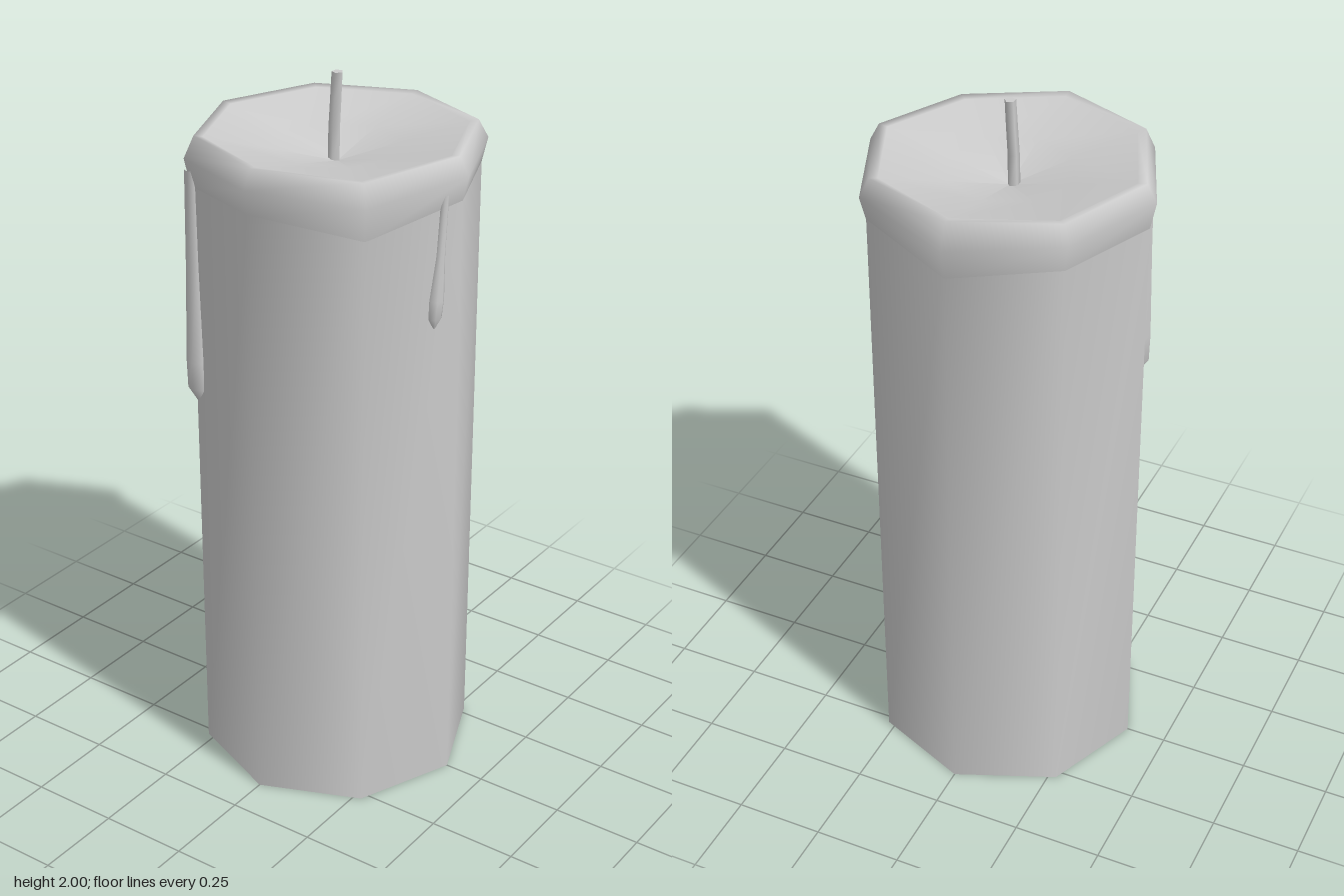
import * as THREE from 'three';

const SIDES = 8;

// Smooth skin through closed rings of points, listed bottom to top (outside facing out).
function loft(rings) {
  const n = rings[0].length;
  const index = [];
  for (let i = 0; i < rings.length - 1; i++) {
    for (let j = 0; j < n; j++) {
      const k = (j + 1) % n;
      const a = i * n + j, b = i * n + k, c = a + n, d = b + n;
      index.push(a, b, d, a, d, c);
    }
  }
  const geo = new THREE.BufferGeometry();
  geo.setAttribute('position', new THREE.Float32BufferAttribute(rings.flat(2), 3));
  geo.setIndex(index);
  geo.computeVertexNormals();
  return geo;
}

// Ring around the y axis; the height may differ at every corner. Corner 0 is at +z, corner 2 at +x.
function ring(radius, height, sides = SIDES, x = 0, z = 0) {
  return Array.from({ length: sides }, (_, j) => {
    const a = (j / sides) * Math.PI * 2;
    const y = Array.isArray(height) ? height[j] : height;
    return [x + radius * Math.sin(a), y, z + radius * Math.cos(a)];
  });
}

export function createModel() {
  const group = new THREE.Group();
  const wax = new THREE.MeshStandardMaterial({ color: 0xcccccc });
  const add = (name, geo) => {
    const mesh = new THREE.Mesh(geo, wax);
    mesh.name = name;
    group.add(mesh);
    return mesh;
  };

  // Wax pillar with a flat base
  add('body', loft([ring(0.385, 0), ring(0.385, 1.76)]));
  const base = add('base', new THREE.CircleGeometry(0.385, SIDES));
  base.rotation.x = Math.PI / 2;

  // Swollen rim with an uneven lower edge and one slumped corner
  const lip = [1.73, 1.73, 1.69, 1.72, 1.72, 1.71, 1.725, 1.68];
  const bulge = [1.8, 1.8, 1.78, 1.8, 1.8, 1.79, 1.8, 1.775];
  const crest = [1.85, 1.85, 1.85, 1.85, 1.85, 1.85, 1.85, 1.835];
  const inner = crest.map((y) => y - 0.004);
  add('rim', loft([
    ring(0.384, lip), ring(0.401, bulge), ring(0.374, crest), ring(0.35, inner),
  ]));

  // Sunken pool of melted wax
  add('meltPool', loft([ring(0.35, inner), ring(0.175, 1.803), ring(0.001, 1.76)]));

  // Bent five-sided wick with a cap
  const wickPath = [[1.75, -0.011], [1.85, -0.009], [1.93, -0.004], [2, 0]];
  const wickRings = wickPath.map(([y, z], i) => ring(0.017 - i * 0.0005, y, 5, 0, z));
  add('wick', loft(wickRings));
  add('wickTip', loft([wickRings[3], ring(0.0001, 2, 5, 0, 0)]));

  // Drips: thin at the top, swelling to a drop; stations are [y, radius, x, z]
  const drips = {
    frontDrip: [
      [1.76, 0.012, -0.05, 0.362], [1.6, 0.014, -0.058, 0.357], [1.48, 0.022, -0.07, 0.355],
      [1.43, 0.02, -0.073, 0.353], [1.395, 0.001, -0.072, 0.352],
    ],
    backDrip: [
      [1.76, 0.022, -0.268, -0.268], [1.5, 0.027, -0.267, -0.267], [1.22, 0.038, -0.264, -0.264],
      [1.14, 0.036, -0.264, -0.264], [1.09, 0.001, -0.268, -0.268],
    ],
  };
  for (const [name, stations] of Object.entries(drips)) {
    add(name, loft(stations.reverse().map(([y, r, x, z]) => ring(r, y, 8, x, z))));
  }

  return group;
}
